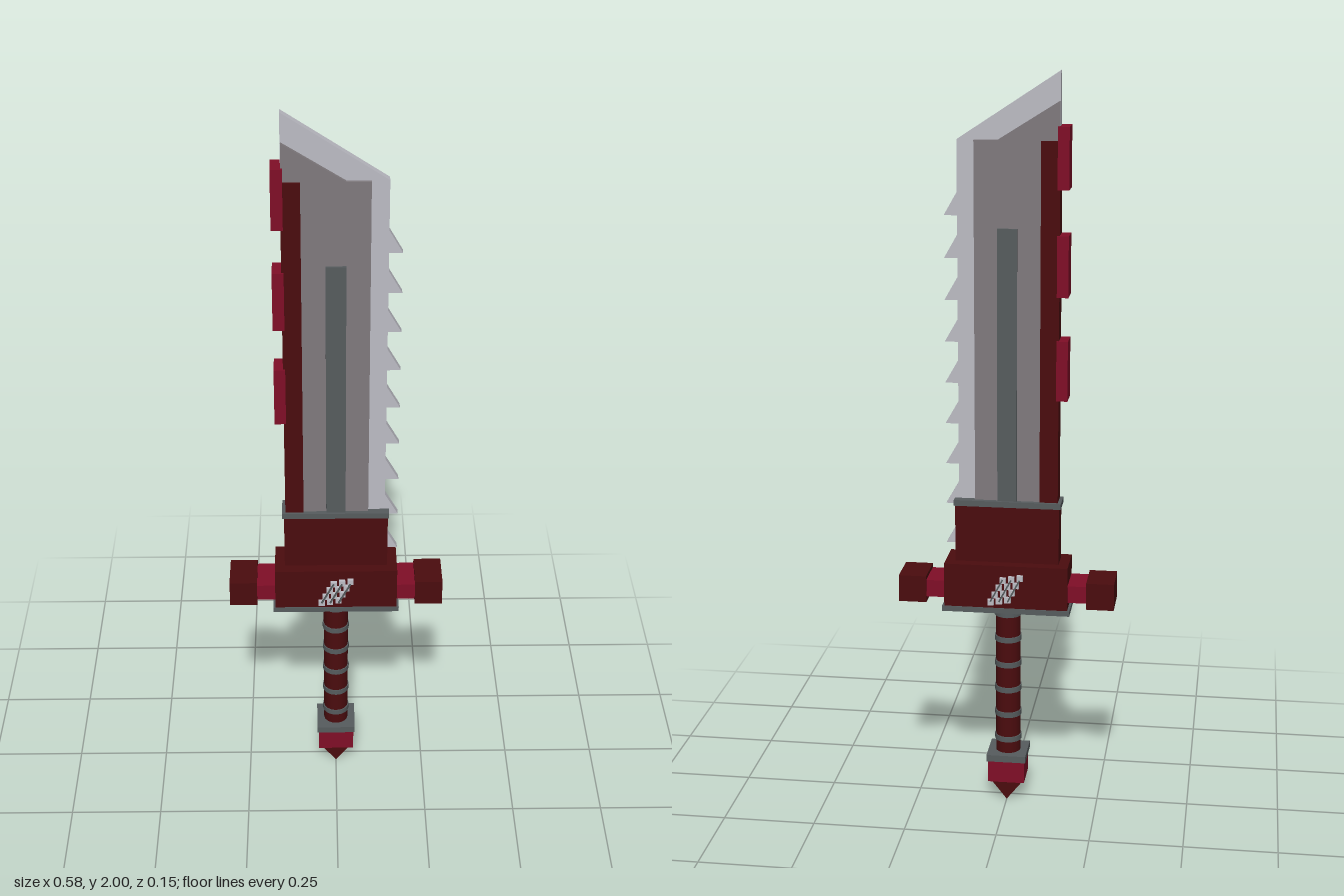
import * as THREE from 'three';

const mat = (name, color) => {
  const m = new THREE.MeshStandardMaterial({ color });
  m.name = name;
  return m;
};

export function createModel() {
  const silver = mat('silver edge', 0xbcbcc4);
  const steel = mat('blade steel', 0x807a7e);
  const iron = mat('dark iron', 0x565c5e);
  const maroon = mat('dark maroon', 0x4b0c0e);
  const crimson = mat('crimson', 0x800e27);
  const sword = new THREE.Group();
  sword.name = 'sword';

  const add = (name, geometry, material) => {
    const mesh = new THREE.Mesh(geometry, material);
    mesh.name = name;
    sword.add(mesh);
    return mesh;
  };
  // Box given by its x and y range and half depth
  const box = (name, material, x0, x1, y0, y1, halfZ) => {
    const g = new THREE.BoxGeometry(x1 - x0, y1 - y0, halfZ * 2);
    g.translate((x0 + x1) / 2, (y0 + y1) / 2, 0);
    return add(name, g, material);
  };
  // Flat outline extruded evenly to both sides of z = 0
  const plate = (name, material, points, halfZ) => {
    const shape = new THREE.Shape(points.map(([x, y]) => new THREE.Vector2(x, y)));
    const g = new THREE.ExtrudeGeometry(shape, { depth: halfZ * 2, bevelEnabled: false });
    g.translate(0, 0, -halfZ);
    return add(name, g, material);
  };

  // Blade: thin sharpened plate, thicker core, central fuller
  plate('bladeEdge', silver,
    [[-0.135, 0.72], [0.132, 0.72], [0.132, 1.825], [-0.135, 2]], 0.011);
  plate('bladeCore', steel,
    [[-0.134, 0.86], [0.087, 0.86], [0.087, 1.825], [0.026, 1.825], [-0.134, 1.925]], 0.021);
  box('fuller', iron, -0.026, 0.026, 0.86, 1.6, 0.028);

  // Saw teeth
  for (let i = 0; i < 9; i++) {
    const y = 1.63 - i * 0.111;
    plate('sawTooth', silver, [[0.125, y], [0.167, y], [0.13, y + 0.065], [0.125, y + 0.065]], 0.01);
  }

  // Spine and its blocks
  box('spine', maroon, -0.136, -0.087, 0.86, 1.825, 0.026);
  for (const y of [1.15, 1.425, 1.702]) box('spineBlock', crimson, -0.16, -0.13, y, y + 0.16, 0.032);

  // Collar
  box('collar', maroon, -0.14, 0.14, 0.695, 0.855, 0.03);
  box('collarTrim', iron, -0.145, 0.143, 0.853, 0.869, 0.034);

  // Guard
  box('guard', maroon, -0.167, 0.167, 0.577, 0.697, 0.06);
  box('guardPlate', iron, -0.173, 0.173, 0.562, 0.577, 0.062);
  for (const s of [-1, 1]) {
    const span = (a, b) => (s > 0 ? [a, b] : [-b, -a]);
    box('guardArm', crimson, ...span(0.16, 0.22), 0.598, 0.645, 0.052);
    box('guardEnd', maroon, ...span(0.217, 0.292), 0.582, 0.656, 0.055);
  }

  // Slanted grille bars on both faces of the guard
  for (const s of [-1, 1]) {
    for (let i = -1; i <= 1; i++) {
      for (let row = 0; row < 4; row++) {
        const g = new THREE.BoxGeometry(0.017, 0.016, 0.01);
        g.translate(s * (i * 0.023 + (row - 1.5) * 0.011), 0.63 + (row - 1.5) * 0.021 + i * 0.004, s * 0.064);
        add('grilleBar', g, silver);
      }
      const rib = new THREE.BoxGeometry(0.004, 0.07, 0.006);
      rib.rotateZ(-s * 0.48);
      rib.translate(s * i * 0.023, 0.63, s * 0.07);
      add('grilleRib', rib, iron);
    }
  }

  // Grip with rings
  const drum = (name, material, r, y0, y1) => {
    const g = new THREE.CylinderGeometry(r, r, y1 - y0, 16);
    g.translate(0, (y0 + y1) / 2, 0);
    add(name, g, material);
  };
  drum('grip', maroon, 0.034, 0.13, 0.565);
  for (let i = 0; i < 6; i++) drum('gripRing', iron, 0.037, 0.172 + i * 0.0735, 0.187 + i * 0.0735);

  // Pommel
  box('pommelTrim', iron, -0.054, 0.054, 0.12, 0.139, 0.054);
  box('pommel', crimson, -0.05, 0.05, 0.058, 0.121, 0.05);
  plate('pommelPoint', maroon, [[0, 0], [0.046, 0.058], [-0.046, 0.058]], 0.034);

  return sword;
}
